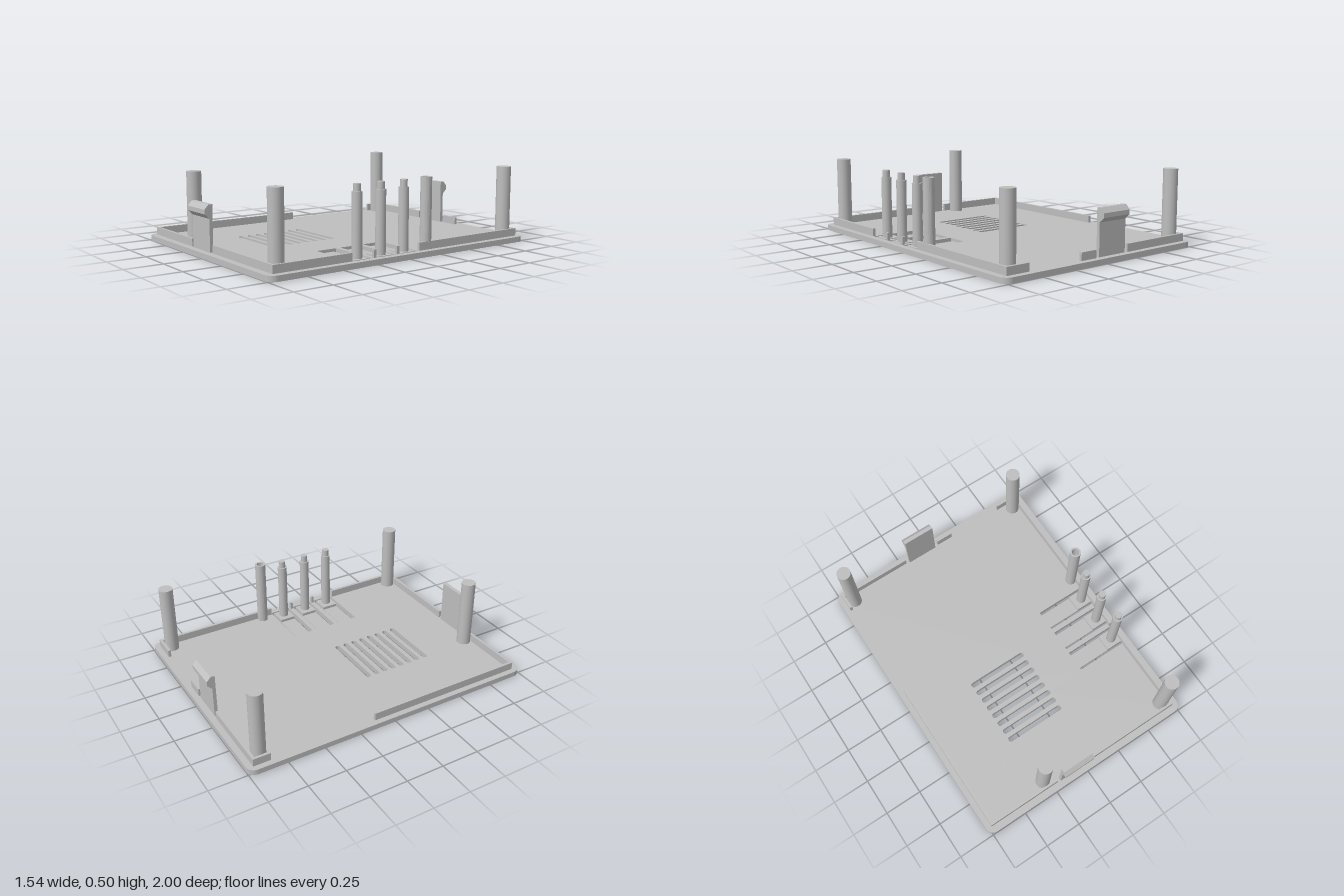
import * as THREE from 'three';

const PLATE_H = 0.035;
const WALL_TOP = 0.085;
const BUTTON_Z = [-0.022, 0.157, 0.335];
const BUTTON_X = 0.667;

export function createModel() {
  const model = new THREE.Group();
  model.name = 'enclosureLid';
  const plastic = new THREE.MeshStandardMaterial({ color: 0xbebebe });
  plastic.name = 'grey plastic';

  const add = (name, geometry, x = 0, y = 0, z = 0, parent = model) => {
    const mesh = new THREE.Mesh(geometry, plastic);
    mesh.name = name;
    mesh.position.set(x, y, z);
    parent.add(mesh);
    return mesh;
  };
  // box given by its limits on each axis
  const block = (name, x0, x1, y0, y1, z0, z1, parent) =>
    add(name, new THREE.BoxGeometry(x1 - x0, y1 - y0, z1 - z0),
      (x0 + x1) / 2, (y0 + y1) / 2, (z0 + z1) / 2, parent);
  // upright cylinder standing at height y0
  const rod = (name, r, y0, y1, x, z, parent) =>
    add(name, new THREE.CylinderGeometry(r, r, y1 - y0, 32), x, (y0 + y1) / 2, z, parent);
  // rounded rectangle outline, centred on (cx, cz)
  const roundRect = (path, cx, cz, hw, hd, r) => {
    path.moveTo(cx + hw, cz - hd + r);
    path.absarc(cx + hw - r, cz + hd - r, r, 0, Math.PI / 2, false);
    path.absarc(cx - hw + r, cz + hd - r, r, Math.PI / 2, Math.PI, false);
    path.absarc(cx - hw + r, cz - hd + r, r, Math.PI, Math.PI * 1.5, false);
    path.absarc(cx + hw - r, cz - hd + r, r, Math.PI * 1.5, Math.PI * 2, false);
    return path;
  };
  // shape in (x, z), extruded upward from y0 to y1
  const slab = (shape, y0, y1) =>
    new THREE.ExtrudeGeometry(shape, { depth: y1 - y0, bevelEnabled: false, curveSegments: 12 })
      .rotateX(Math.PI / 2).translate(0, y1, 0);

  // base plate with vents, button windows and an indicator hole
  const plate = roundRect(new THREE.Shape(), 0, 0, 0.77, 1, 0.055);
  for (let i = 0; i < 8; i++) {
    plate.holes.push(roundRect(new THREE.Path(), -0.115, 0.093 + i * 0.0646, 0.212, 0.0175, 0.0174));
  }
  for (const z of BUTTON_Z) {
    plate.holes.push(new THREE.Path([
      new THREE.Vector2(0.363, z - 0.073), new THREE.Vector2(0.727, z - 0.073),
      new THREE.Vector2(0.727, z + 0.073), new THREE.Vector2(0.363, z + 0.073),
    ]));
  }
  const tubeX = 0.69, tubeZ = -0.183;
  plate.holes.push(new THREE.Path().absarc(tubeX, tubeZ, 0.024, 0, Math.PI * 2, false));
  add('basePlate', slab(plate, 0, PLATE_H));

  // indicator light tube
  const ring = new THREE.Shape().absarc(tubeX, tubeZ, 0.036, 0, Math.PI * 2, false);
  ring.holes.push(new THREE.Path().absarc(tubeX, tubeZ, 0.024, 0, Math.PI * 2, false));
  add('lightTube', slab(ring, PLATE_H, 0.483));

  // flexible buttons, each a thin tongue, a thick pad and a stepped pin
  for (const z of BUTTON_Z) {
    const button = new THREE.Group();
    button.name = 'button';
    block('buttonTongue', 0.363, 0.602, 0, 0.016, z - 0.055, z + 0.055, button);
    block('buttonPad', 0.602, 0.716, 0, PLATE_H, z - 0.055, z + 0.055, button);
    rod('buttonPin', 0.032, PLATE_H, 0.43, BUTTON_X, z, button);
    rod('buttonPinTip', 0.023, 0.43, 0.476, BUTTON_X, z, button);
    model.add(button);
  }

  // corner posts
  for (const [x, z] of [[-0.67, -0.895], [0.667, -0.895], [-0.293, 0.893], [0.667, 0.893]]) {
    rod('post', 0.047, PLATE_H, 0.5, x, z);
  }

  // locating lip: runs along x
  for (const [x0, x1, z] of [
    [-0.733, -0.215, 0.945], [0.05, 0.727, 0.945],
    [-0.733, -0.215, -0.951], [0.05, 0.17, -0.951], [0.565, 0.727, -0.951],
  ]) {
    block('lipAcross', x0, x1, PLATE_H, WALL_TOP, z - 0.009, z + 0.009);
  }
  // locating lip: runs along z
  for (const [x, z0, z1] of [
    [-0.724, -0.942, -0.845], [-0.724, -0.13, 0.936],
    [0.718, -0.942, -0.1], [0.718, 0.06, 0.077], [0.718, 0.237, 0.255], [0.718, 0.415, 0.936],
  ]) {
    block('lipAlong', x - 0.009, x + 0.009, PLATE_H, WALL_TOP, z0, z1);
  }

  // snap clips, front and back, with the hook outward
  const hook = new THREE.Shape([
    [0.935, 0.03], [0.957, 0.03], [0.957, 0.242], [0.989, 0.272],
    [0.989, 0.3], [0.962, 0.33], [0.935, 0.33],
  ].map(([z, y]) => new THREE.Vector2(z, y)));
  const clipWidth = 0.218;
  for (const side of [1, -1]) {
    const geometry = new THREE.ExtrudeGeometry(hook, { depth: clipWidth, bevelEnabled: false })
      .translate(0, 0, -clipWidth / 2).rotateY(-side * Math.PI / 2);
    add(side > 0 ? 'frontClip' : 'backClip', geometry, -0.084, 0, 0);
  }

  return model;
}
